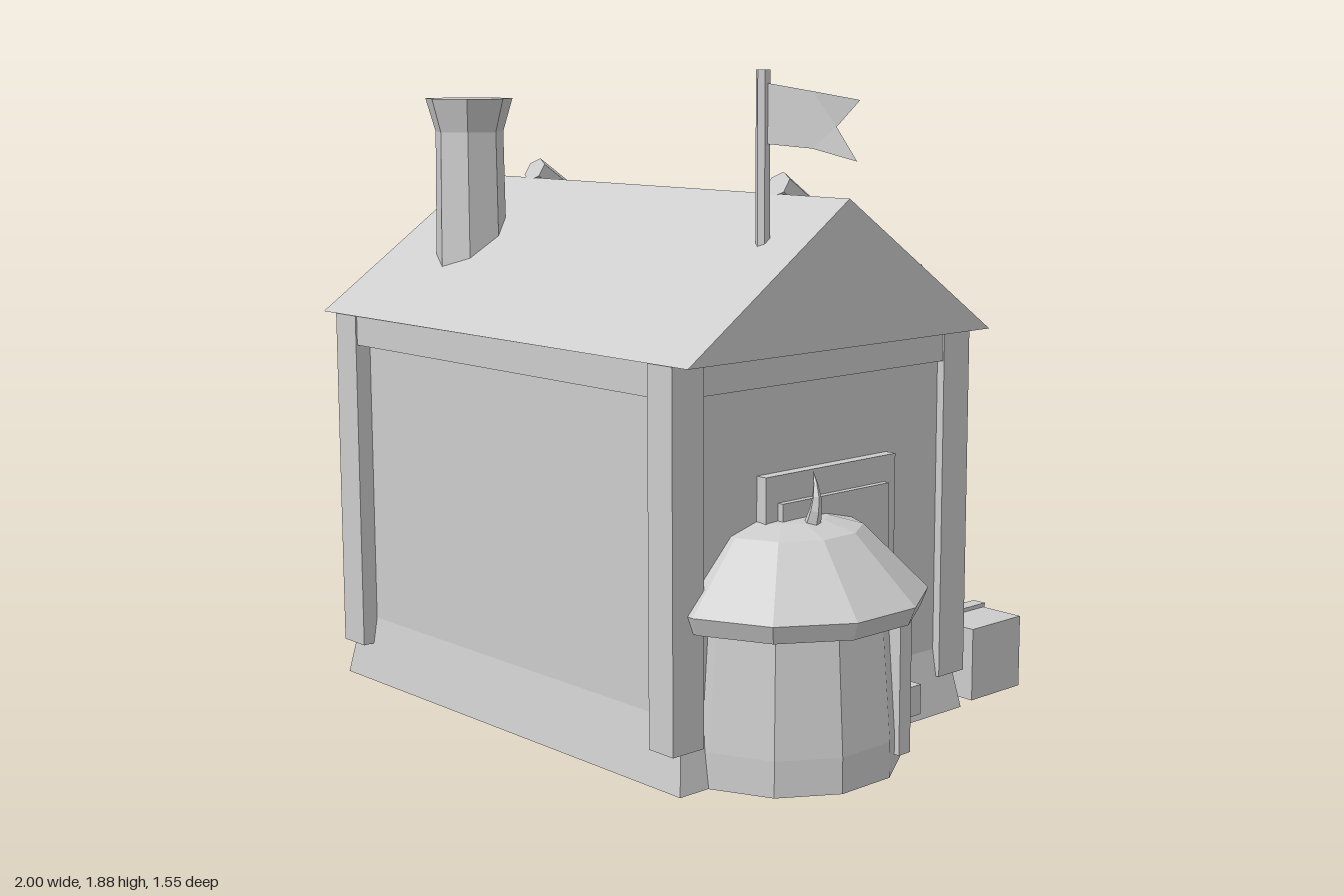
import * as THREE from 'three';

const stone = new THREE.MeshStandardMaterial({ color: 0xcccccc, flatShading: true, side: THREE.DoubleSide });
stone.name = 'plainGrey';

export function createModel() {
  const model = new THREE.Group();
  model.name = 'cottage';

  const add = (name, geometry, x = 0, y = 0, z = 0) => {
    const mesh = new THREE.Mesh(geometry, stone);
    mesh.name = name;
    mesh.position.set(x, y, z);
    model.add(mesh);
    return mesh;
  };
  // Box given by its limits
  const box = (name, x0, x1, y0, y1, z0, z1) =>
    add(name, new THREE.BoxGeometry(x1 - x0, y1 - y0, z1 - z0), (x0 + x1) / 2, (y0 + y1) / 2, (z0 + z1) / 2);
  // Box whose foot is wider by sx and sz on each side
  const flare = (mesh, sx, sz) => {
    const p = mesh.geometry.attributes.position;
    for (let i = 0; i < p.count; i++) {
      if (p.getY(i) < 0) {
        p.setX(i, p.getX(i) + Math.sign(p.getX(i)) * sx);
        p.setZ(i, p.getZ(i) + Math.sign(p.getZ(i)) * sz);
      }
    }
    return mesh;
  };
  const lathe = (name, profile, sides, x, z, turn = 0) => {
    const mesh = add(name, new THREE.LatheGeometry(profile.map(([r, y]) => new THREE.Vector2(r, y)), sides), x, 0, z);
    mesh.rotation.y = turn;
    return mesh;
  };
  // Curved horn tapering to a point
  const horn = (name, points, radius, sides) => {
    const curve = new THREE.CatmullRomCurve3(points.map((p) => new THREE.Vector3(...p)));
    const steps = 5;
    const g = new THREE.TubeGeometry(curve, steps, radius, sides);
    const p = g.attributes.position;
    const v = new THREE.Vector3();
    for (let i = 0; i < p.count; i++) {
      const t = Math.floor(i / (sides + 1)) / steps;
      const c = curve.getPointAt(t);
      v.fromBufferAttribute(p, i).sub(c).multiplyScalar(Math.max(0.01, 1 - t ** 1.3)).add(c);
      p.setXYZ(i, v.x, v.y, v.z);
    }
    return add(name, g);
  };

  // House walls, corner posts and top beam
  box('walls', -0.86, 0.63, 0.19, 1.1, -0.34, 0.72);
  for (const [x0, x1] of [[-0.885, -0.78], [0.56, 0.655]])
    for (const [z0, z1] of [[-0.39, -0.28], [0.66, 0.77]]) box('cornerPost', x0, x1, 0.11, 1.14, z0, z1);
  box('topBeam', -0.88, 0.65, 1.05, 1.14, -0.385, 0.765);

  // Sloping foundation, open above and below
  const skirt = flare(box('foundation', -0.86, 0.63, 0, 0.19, -0.34, 0.72), 0.033, 0.033);
  const idx = Array.from(skirt.geometry.index.array);
  skirt.geometry.setIndex(idx.filter((_, i) => i < 12 || i >= 24));
  skirt.geometry.clearGroups();

  // Gabled roof
  const gable = new THREE.Shape([[-0.775, 1.14], [0.4, 1.14], [-0.19, 1.54]].map((p) => new THREE.Vector2(...p)));
  const roof = new THREE.ExtrudeGeometry(gable, { depth: 1.665, bevelEnabled: false });
  add('roof', roof.rotateY(Math.PI / 2), -0.945, 0, 0);

  // Logs lying on the rear slope
  for (const x of [-0.652, 0.432]) {
    const log = add('roofLog', new THREE.CylinderGeometry(0.042, 0.042, 0.72, 6), x, 1.362, -0.122);
    log.rotation.x = Math.atan2(0.59, 0.4);
  }

  // Chimney
  lathe('chimney', [[0.112, 1.15], [0.105, 1.69], [0.135, 1.79], [0, 1.79]], 7, -0.62, 0.45);

  // Flag
  add('flagPole', new THREE.CylinderGeometry(0.02, 0.02, 0.5, 6), 0.557, 1.63, 0.355);
  const cloth = new THREE.Shape([
    [0.57, 1.845], [0.72, 1.825], [0.905, 1.805], [0.81, 1.735], [0.895, 1.65], [0.72, 1.677], [0.57, 1.685],
  ].map((p) => new THREE.Vector2(...p)));
  const flag = new THREE.ShapeGeometry(cloth);
  const fp = flag.attributes.position;
  for (let i = 0; i < fp.count; i++) fp.setZ(i, 0.355 - 0.02 * Math.sin((fp.getX(i) - 0.57) * 9));
  add('flag', flag);

  // Side windows
  for (const [wall, side] of [[-0.86, -1], [0.63, 1]]) {
    const plate = (name, out, y0, y1, z0, z1) =>
      box(name, Math.min(wall, wall + side * out), Math.max(wall, wall + side * out), y0, y1, z0, z1);
    plate('windowFrame', 0.035, 0.375, 0.81, -0.065, 0.445);
    plate('windowShutter', 0.054, 0.42, 0.735, -0.02, 0.4);
  }

  // Round side tower with domed cap and little horn
  const turn = Math.PI / 2 + Math.PI / 11;
  lathe('tower', [[0, 0.14], [0.315, 0.14]], 11, 0.62, 0.33, turn);
  lathe('towerWall', [[0.325, 0], [0.325, 0.1], [0.297, 0.46]], 11, 0.62, 0.33, turn);
  lathe('towerCap', [[0.28, 0.43], [0.375, 0.43], [0.395, 0.48], [0.215, 0.66], [0.12, 0.685], [0, 0.69]], 11, 0.62, 0.33, turn);
  horn('capHorn', [[0.72, 0.65, 0.335], [0.742, 0.72, 0.335], [0.74, 0.77, 0.33], [0.717, 0.82, 0.32]], 0.026, 5);
  add('towerStake', new THREE.BoxGeometry(0.045, 0.38, 0.045), 0.885, 0.23, 0.152);
  add('towerPeg', new THREE.BoxGeometry(0.09, 0.085, 0.068), 0.83, 0.165, 0.085);

  // Rear doorway
  const mid = -0.257;
  box('door', -0.5, -0.02, 0, 0.6, -0.46, -0.33);
  for (const s of [-1, 1]) {
    flare(box('doorJamb', mid + s * 0.25 - 0.035, mid + s * 0.25 + 0.035, 0, 0.6, -0.51, -0.33), 0.01, 0.01);
    flare(box('porchPillar', mid + s * 0.39 - 0.058, mid + s * 0.39 + 0.058, 0, 0.76, -0.66, -0.52), 0.01, 0.006);
    // Large horns on the beam ends
    horn('beamHorn', [[0.43, 0.83, -0.6], [0.535, 0.85, -0.6], [0.59, 0.95, -0.605], [0.575, 1.1, -0.625], [0.5, 1.275, -0.645]]
      .map(([x, y, z]) => [mid + s * x, y, z]), 0.075, 6);
  }
  box('doorLintel', -0.565, 0.055, 0.575, 0.65, -0.525, -0.33);
  box('doorHandle', -0.36, -0.33, 0.22, 0.26, -0.49, -0.45);
  box('porchBeam', -0.735, 0.22, 0.75, 0.91, -0.682, -0.505);

  // Signboard with crossed tools
  box('signBoard', -0.515, 0, 0.8, 1.1, -0.722, -0.675);
  const bar = (name, x0, y0, x1, y1, width, depth, z) => {
    const mesh = add(name, new THREE.BoxGeometry(Math.hypot(x1 - x0, y1 - y0), width, depth), (x0 + x1) / 2, (y0 + y1) / 2, z);
    mesh.rotation.z = Math.atan2(y1 - y0, x1 - x0);
  };
  bar('toolHandle', -0.4, 0.83, -0.1, 1.06, 0.055, 0.03, -0.76);
  bar('toolHead', -0.18, 1.0, -0.08, 1.07, 0.08, 0.055, -0.752);
  bar('crossedTool', -0.46, 1.03, -0.05, 0.89, 0.055, 0.025, -0.734);

  // Barrel with staves
  lathe('barrel', [[0, 0], [0.115, 0], [0.165, 0.2], [0.168, 0.25], [0.155, 0.285], [0, 0.285]], 10, -0.83, -0.565);
  for (let i = 0; i < 5; i++) {
    const pivot = new THREE.Group();
    pivot.name = 'barrelStave';
    pivot.position.set(-0.83, 0, -0.565);
    pivot.rotation.y = 0.6 + (i * Math.PI * 2) / 5;
    const stave = add('stave', new THREE.BoxGeometry(0.022, 0.21, 0.02), 0, 0.135, 0.143);
    stave.rotation.x = 0.24;
    pivot.add(stave);
    model.add(pivot);
  }

  // Strapped crate
  box('crate', 0.375, 0.645, 0, 0.22, -0.668, -0.445);
  box('crateStrap', 0.455, 0.5, 0, 0.232, -0.675, -0.438);

  return model;
}
